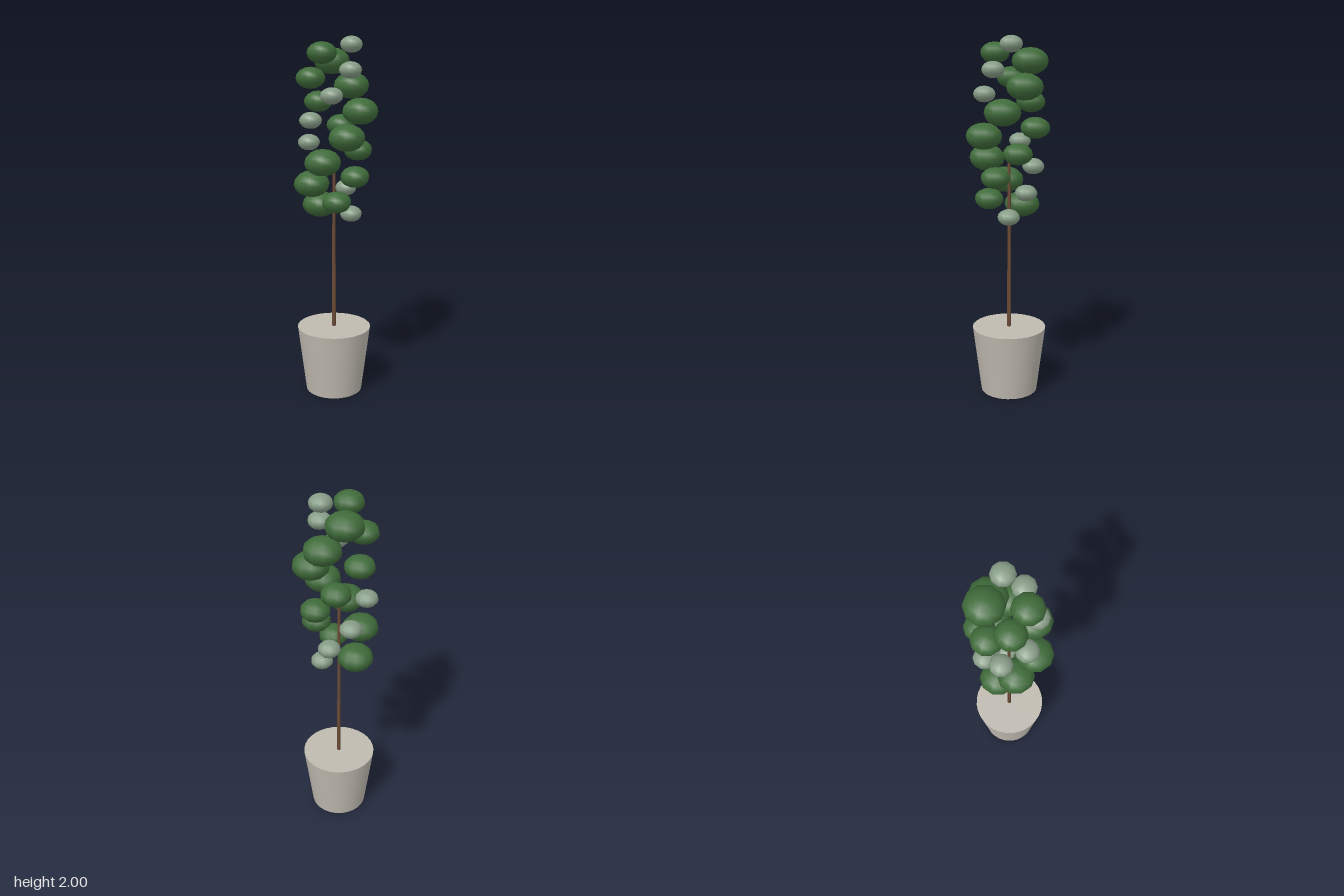
import * as THREE from 'three';

export function createModel() {
  const mat = (name, color) => {
    const m = new THREE.MeshStandardMaterial({ color });
    m.name = name;
    return m;
  };
  const potMat = mat('warm grey clay', 0xbfbab0);
  const barkMat = mat('brown bark', 0x6b4a35);
  const greenMat = mat('dark green', 0x3f6b3a);
  const sageMat = mat('pale sage', 0x879d87);

  const model = new THREE.Group();
  model.name = 'pottedTree';
  const tree = new THREE.Group();
  tree.name = 'plant';
  tree.position.set(-0.005, 0, -0.013);
  model.add(tree);

  const add = (name, geometry, material, x, y, z) => {
    const mesh = new THREE.Mesh(geometry, material);
    mesh.name = name;
    mesh.position.set(x, y, z);
    tree.add(mesh);
  };

  // Tapered pot, closed at both ends
  add('pot', new THREE.CylinderGeometry(0.208, 0.16, 0.38, 32), potMat, 0, 0.19, 0);

  // Thin trunk rising into the foliage
  add('trunk', new THREE.CylinderGeometry(0.008, 0.012, 1.02, 8), barkMat, 0, 0.87, 0);

  // Three sizes of flattened leaf clump
  const clump = (r) => new THREE.SphereGeometry(r, 10, 8).scale(1, 0.72, 1);
  const kinds = [
    ['paleLeafClump', clump(0.062), sageMat],
    ['largeLeafClump', clump(0.1), greenMat],
    ['smallLeafClump', clump(0.081), greenMat],
  ];

  // Clumps spiral upwards by the golden angle, widest at mid height
  const count = 22;
  for (let i = 0; i < count; i++) {
    const t = i / (count - 1);
    const angle = THREE.MathUtils.degToRad(10 - 137.5 * i);
    const radius = 0.095 + 0.053 * Math.sin(Math.PI * t);
    const [name, geometry, material] = kinds[i % 3];
    add(name, geometry, material,
      radius * Math.cos(angle), 1.038 + 0.918 * t, radius * Math.sin(angle));
  }
  return model;
}
